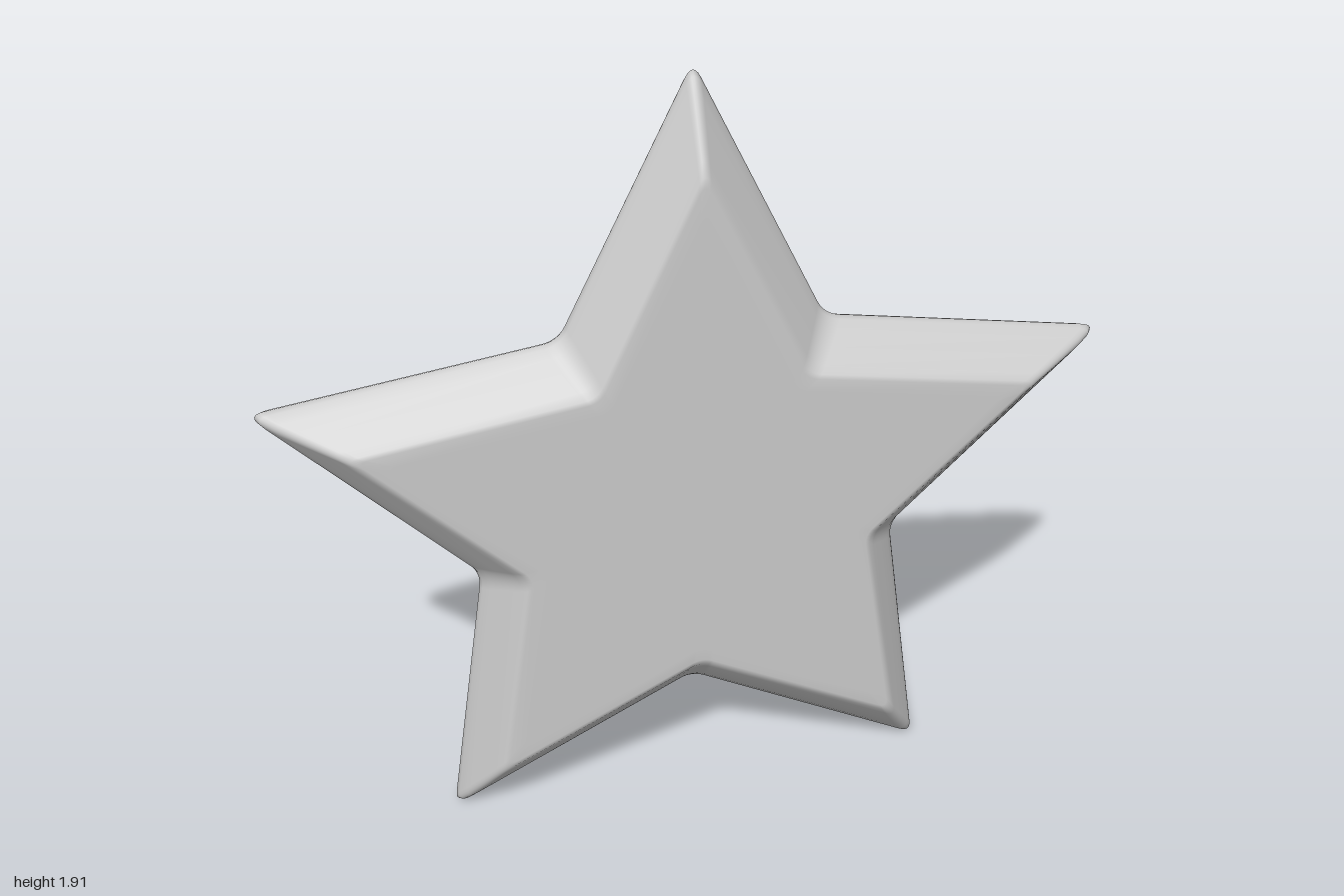
import * as THREE from 'three';

// Outer rim corners and front-face corners, alternating tip / notch, counter-clockwise from the top
const RIM = [[0, 1.91], [-0.315, 1.3], [-1, 1.195], [-0.525, 0.7], [-0.625, 0.005],
  [-0.008, 0.31], [0.605, 0], [0.51, 0.69], [1, 1.178], [0.315, 1.295]];
const FACE = [[0, 1.7], [-0.245, 1.2], [-0.795, 1.115], [-0.42, 0.74], [-0.5, 0.19],
  [-0.004, 0.43], [0.495, 0.185], [0.41, 0.735], [0.795, 1.105], [0.245, 1.2]];
const CENTRE = new THREE.Vector2(0, 0.865);
const STEPS = 6;

// Closed outline with every corner softened by a small quadratic curve
function outline(corners, cut, push) {
  const pts = corners.map(([x, y], i) => {
    const p = new THREE.Vector2(x, y);
    const out = p.clone().sub(CENTRE).normalize();
    return i % 2 === 0 ? p.addScaledVector(out, push) : p;
  });
  const n = pts.length;
  return pts.flatMap((p, i) => {
    const toward = (q) => p.clone().add(q.clone().sub(p).setLength(cut));
    const a = toward(pts[(i + n - 1) % n]), b = toward(pts[(i + 1) % n]);
    return new THREE.QuadraticBezierCurve(a, p, b).getPoints(STEPS);
  });
}

function starGeometry() {
  const rim = outline(RIM, 0.04, 0.017);
  const face = outline(FACE, 0.03, 0.013);
  const n = rim.length;

  // Bevel profile: [blend from rim to face, z]; values above 1 run inward on the flat face
  const half = [[1.25, 0.12], [1.04, 0.12], [0.95, 0.117], [0.8, 0.102], [0.5, 0.069], [0.2, 0.035], [0.05, 0.014]];
  const profile = [...half, [0, 0], ...half.map(([t, z]) => [t, -z]).reverse()];

  const pos = [], index = [];
  for (const [t, z] of profile) {
    for (let i = 0; i < n; i++) {
      const p = t <= 1
        ? rim[i].clone().lerp(face[i], t)
        : face[i].clone().lerp(CENTRE, (t - 1) * 0.4);
      pos.push(p.x, p.y, z);
    }
  }
  for (let r = 0; r < profile.length - 1; r++) {
    for (let i = 0; i < n; i++) {
      const j = (i + 1) % n;
      const a = r * n + i, b = r * n + j, c = a + n, d = b + n;
      index.push(a, c, b, b, c, d);
    }
  }

  // Flat caps fanned from the centre
  const front = pos.length / 3, back = front + 1, last = (profile.length - 1) * n;
  pos.push(CENTRE.x, CENTRE.y, 0.12, CENTRE.x, CENTRE.y, -0.12);
  for (let i = 0; i < n; i++) {
    const j = (i + 1) % n;
    index.push(front, i, j, back, last + j, last + i);
  }

  const geo = new THREE.BufferGeometry();
  geo.setAttribute('position', new THREE.Float32BufferAttribute(pos, 3));
  geo.setIndex(index);
  geo.computeVertexNormals();
  return geo;
}

export function createModel() {
  const group = new THREE.Group();
  group.name = 'star';
  const body = new THREE.Mesh(starGeometry(), new THREE.MeshStandardMaterial({ color: 0xcccccc }));
  body.name = 'starBody';
  group.add(body);
  return group;
}
